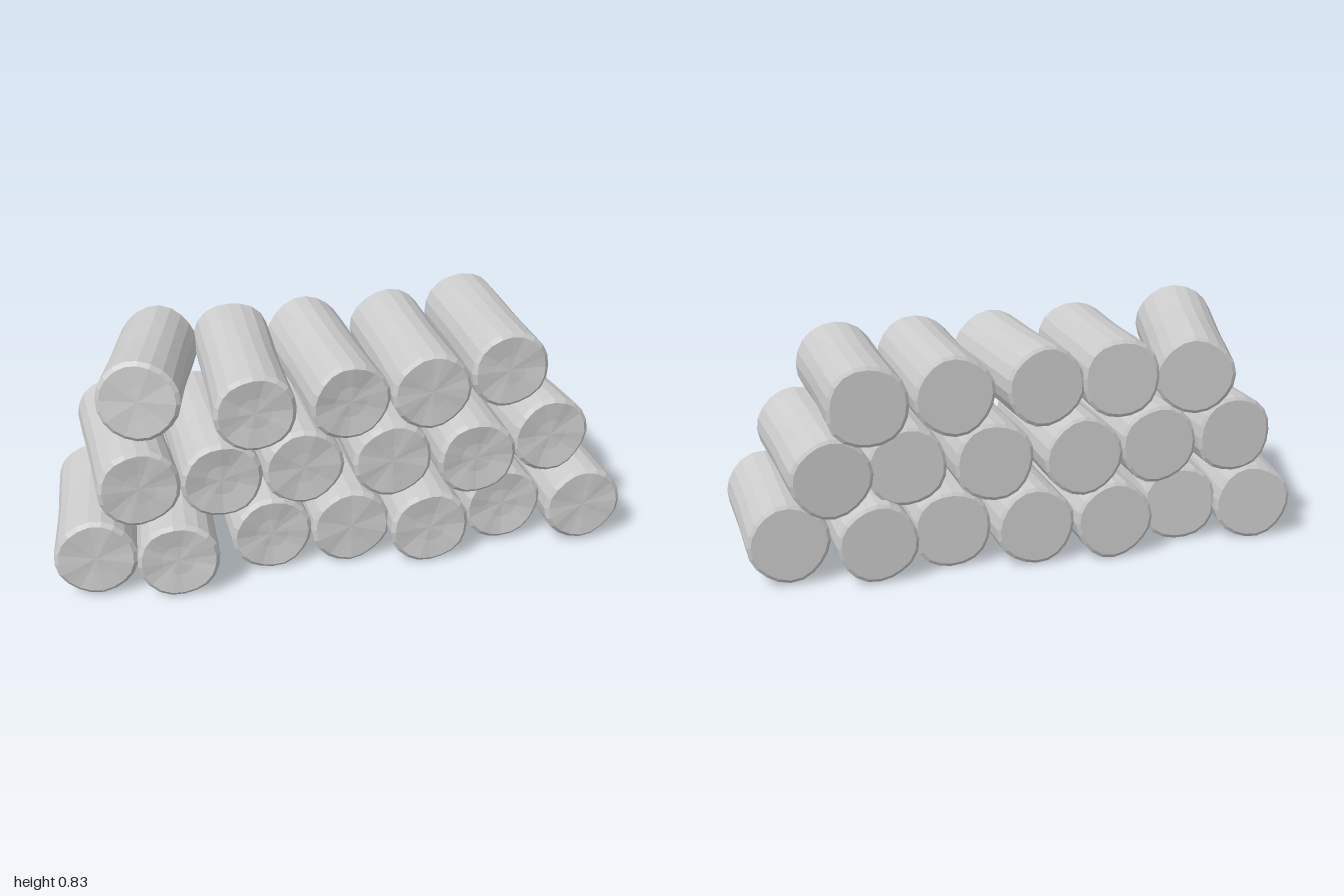
import * as THREE from 'three';

// One log per line: front centre x, y, z, then back centre x, y, z
const rows = {
  bottomLog: [
    [-0.858, 0.155, 0.265, -0.785, 0.147, -0.30],
    [-0.59, 0.15, 0.34, -0.53, 0.146, -0.235],
    [-0.25, 0.15, 0.255, -0.25, 0.15, -0.325],
    [0.025, 0.15, 0.275, 0.025, 0.15, -0.295],
    [0.29, 0.147, 0.345, 0.305, 0.147, -0.23],
    [0.58, 0.16, 0.28, 0.572, 0.152, -0.29],
    [0.855, 0.16, 0.352, 0.858, 0.157, -0.215],
  ],
  middleLog: [
    [-0.70, 0.415, 0.285, -0.705, 0.408, -0.295],
    [-0.42, 0.397, 0.27, -0.42, 0.40, -0.295],
    [-0.135, 0.395, 0.25, -0.135, 0.395, -0.325],
    [0.17, 0.397, 0.28, 0.17, 0.397, -0.29],
    [0.457, 0.392, 0.328, 0.46, 0.395, -0.245],
    [0.745, 0.415, 0.277, 0.72, 0.395, -0.29],
  ],
  topLog: [
    [-0.68, 0.70, 0.215, -0.53, 0.645, -0.33],
    [-0.305, 0.642, 0.285, -0.275, 0.65, -0.30],
    [0.022, 0.637, 0.275, -0.01, 0.645, -0.295],
    [0.305, 0.64, 0.275, 0.305, 0.64, -0.295],
    [0.605, 0.655, 0.215, 0.607, 0.648, -0.352],
  ],
};

// Turned log along +y, roughened a little, ends slightly bevelled and the front dished
function logGeometry(length, seed) {
  const R = 0.14, h = length / 2;
  const dish = 0.006 + 0.004 * Math.sin(seed * 2.3);
  const profile = [
    [0, -h], [0.9 * R, -h], [0.985 * R, -h + 0.007],
    [0.98 * R, -h * 0.55], [0.965 * R, -h * 0.1], [0.965 * R, h * 0.15],
    [0.985 * R, h * 0.6], [R, h - 0.012], [0.9 * R, h],
    [0.4 * R, h - dish], [0, h - dish],
  ].map(([r, y]) => new THREE.Vector2(r, y));
  const lathe = new THREE.LatheGeometry(profile, 20);
  const p = lathe.attributes.position;
  for (let i = 0; i < p.count; i++) {
    const x = p.getX(i), y = p.getY(i), z = p.getZ(i);
    const a = Math.atan2(x, z), r = Math.hypot(x, z) / R;
    // Back end is a little lumpy, front end is rounder
    const lump = 0.006 + 0.014 * (0.5 - y / length);
    const s = 1 + lump * Math.cos(4 * a + seed) + 0.007 * Math.sin(3 * a + seed * 1.7 + y * 9);
    const ripple = y > h * 0.9 ? 0.003 * r * Math.sin(5 * a + seed) : 0;
    p.setXYZ(i, x * s, y + ripple, z * s);
  }
  const flat = lathe.toNonIndexed();
  flat.computeVertexNormals();
  return flat;
}

export function createModel() {
  const pile = new THREE.Group();
  pile.name = 'logPile';
  const wood = new THREE.MeshStandardMaterial({ color: 0xcccccc });
  wood.name = 'pale grey';
  const up = new THREE.Vector3(0, 1, 0);
  let seed = 1;
  for (const [name, logs] of Object.entries(rows)) {
    const row = new THREE.Group();
    row.name = name + 'Row';
    logs.forEach((v, i) => {
      const front = new THREE.Vector3(v[0], v[1], v[2]);
      const back = new THREE.Vector3(v[3], v[4], v[5]);
      const axis = front.clone().sub(back);
      const log = new THREE.Mesh(logGeometry(axis.length(), seed++ * 1.9), wood);
      log.name = name + (i + 1);
      log.position.copy(front).add(back).multiplyScalar(0.5);
      log.quaternion.setFromUnitVectors(up, axis.normalize());
      row.add(log);
    });
    pile.add(row);
  }
  return pile;
}
